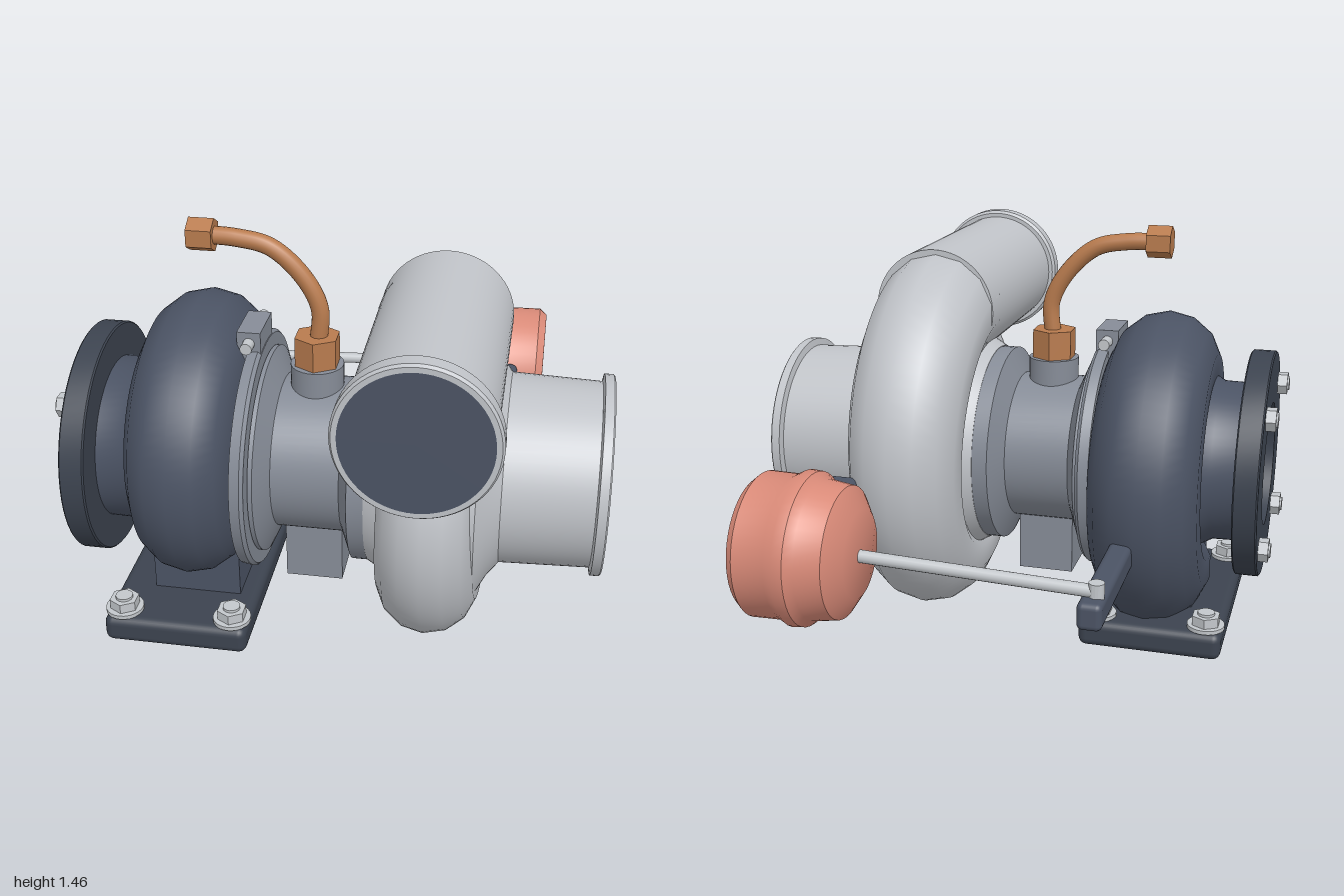
import * as THREE from 'three';
import { toCreasedNormals } from 'three/addons/utils/BufferGeometryUtils.js';
import { RoundedBoxGeometry } from 'three/addons/geometries/RoundedBoxGeometry.js';

// Shaft axis runs along x through this point
const CY = 0.626, CZ = 0.215;

export function createModel() {
  const model = new THREE.Group();
  model.name = 'turbocharger';
  const mat = (name, color, side = THREE.FrontSide) => {
    const m = new THREE.MeshStandardMaterial({ color, side });
    m.name = name;
    return m;
  };
  const alloy = mat('cast alloy', 0xc0c3c8);
  const iron = mat('cast iron', 0x4b5364);
  const darkIron = mat('dark iron', 0x3c434f);
  const core = mat('core housing grey', 0x868c97);
  const steel = mat('bolt steel', 0xc3c7cb);
  const copper = mat('copper', 0xb87b4e);
  const coral = mat('actuator coral', 0xd98a78);
  const wheelGrey = mat('wheel grey', 0x858b94, THREE.DoubleSide);

  const add = (name, geo, material, x = 0, y = 0, z = 0) => {
    const mesh = new THREE.Mesh(geo, material);
    mesh.name = name;
    mesh.position.set(x, y, z);
    model.add(mesh);
    return mesh;
  };
  // Solid of revolution about x, from [x, radius] pairs (outside runs towards +x)
  const turned = (name, profile, material, y = CY, z = CZ, sides = 64) => {
    const pts = profile.map(([x, r]) => new THREE.Vector2(r, x));
    const geo = new THREE.LatheGeometry(pts, sides).rotateZ(-Math.PI / 2);
    return add(name, toCreasedNormals(geo, 0.6), material, 0, y, z);
  };
  const box = (name, x0, x1, y0, y1, z0, z1, material, r = 0) => {
    const s = [x1 - x0, y1 - y0, z1 - z0];
    const geo = r ? new RoundedBoxGeometry(...s, 3, r) : new THREE.BoxGeometry(...s);
    return add(name, geo, material, (x0 + x1) / 2, (y0 + y1) / 2, (z0 + z1) / 2);
  };
  // Growing spiral tube with a closed end; up = 1 starts at the top, -1 at the bottom
  const volute = (name, xc, up, R0, R1, r0, r1, material) => {
    const NA = 80, NB = 14, pos = [], idx = [];
    for (let i = 0; i <= NA; i++) {
      const t = i / NA, a = t * Math.PI * 2;
      const R = R0 + (R1 - R0) * t, r = r0 + (r1 - r0) * t;
      for (let j = 0; j < NB; j++) {
        const b = (j + 0.5) / NB * Math.PI * 2, d = R + r * Math.sin(b);
        pos.push(xc + r * Math.cos(b), CY + up * d * Math.cos(a), CZ + d * Math.sin(a));
        if (i === NA) continue;
        const k = (j + 1) % NB, p = i * NB, q = p + NB;
        if (up > 0) idx.push(p + j, p + k, q + j, p + k, q + k, q + j);
        else idx.push(p + j, q + j, p + k, p + k, q + j, q + k);
      }
    }
    const geo = new THREE.BufferGeometry();
    geo.setAttribute('position', new THREE.Float32BufferAttribute(pos, 3));
    geo.setIndex(idx);
    geo.computeVertexNormals();
    add(name, geo, material);
    add(name + 'End', new THREE.CircleGeometry(r1, 28), material, xc, CY + up * R1, CZ);
  };
  const cyl = (r, h, n = 32) => toCreasedNormals(new THREE.CylinderGeometry(r, r, h, n), 0.6);

  // Compressor housing with its hollow inlet
  volute('compressorVolute', 0.335, 1, 0.352, 0.513, 0.14, 0.215, alloy);
  turned('compressorBody', [[0.13, 0], [0.13, 0.36], [0.2, 0.4], [0.4, 0.45], [0.495, 0.44], [0.53, 0.375],
    [0.57, 0.325], [0.87, 0.315], [0.875, 0.341], [0.905, 0.341], [0.91, 0.335], [0.91, 0.277],
    [0.88, 0.27], [0.6, 0.265], [0.5, 0.265]], alloy);

  // Compressor outlet pipe
  add('compressorOutlet', cyl(0.22, 0.85, 64).rotateX(Math.PI / 2), alloy, 0.342, 1.138, 0.535);
  const lip = new THREE.LatheGeometry([[0, -0.035], [0.235, -0.035], [0.245, -0.025],
    [0.245, 0.024], [0.238, 0.034], [0.2, 0.034]].map((p) => new THREE.Vector2(...p)), 64);
  add('outletLip', toCreasedNormals(lip, 0.6).rotateX(Math.PI / 2), alloy, 0.342, 1.138, 0.965);
  add('outletOpening', new THREE.CircleGeometry(0.222, 64), iron, 0.342, 1.138, 1);

  // Compressor wheel
  const backing = add('wheelBacking', new THREE.CircleGeometry(0.268, 48), darkIron, 0.53, CY, CZ);
  backing.rotation.y = Math.PI / 2;
  turned('wheelHub', [[0.53, 0.1], [0.6, 0.06], [0.7, 0.048], [0.74, 0.035], [0.755, 0]], wheelGrey, CY, CZ, 24);
  const blade = (start, tip, twist, bend) => {
    const geo = new THREE.PlaneGeometry(1, 1, 8, 6), p = geo.attributes.position;
    for (let i = 0; i < p.count; i++) {
      const u = p.getX(i) + 0.5, v = p.getY(i) + 0.5;
      const rad = 0.03 + 0.225 * u, a = start + twist * v + bend * u * u;
      p.setXYZ(i, 0.53 + (tip - 0.53) * v, rad * Math.cos(a), rad * Math.sin(a));
    }
    geo.computeVertexNormals();
    return geo;
  };
  for (let i = 0; i < 6; i++) {
    const a = i * Math.PI / 3;
    add('wheelBlade', blade(a, 0.71, 0.3, 0.2), wheelGrey, 0, CY, CZ);
    add('wheelSplitter', blade(a + Math.PI / 6, 0.63, 0.15, 0.1), wheelGrey, 0, CY, CZ);
  }

  // Core housing with its flared ends and clamp ring
  turned('coreHousing', [[-0.25, 0], [-0.25, 0.36], [-0.235, 0.36], [-0.195, 0.268], [0.035, 0.268],
    [0.075, 0.358], [0.135, 0.358], [0.135, 0]], core);
  turned('clampRing', [[-0.3, 0], [-0.3, 0.41], [-0.265, 0.415], [-0.253, 0.405], [-0.253, 0.34]], core);
  box('clampBlock', -0.335, -0.255, 1.0, 1.1, 0.12, 0.295, core);
  add('clampBolt', cyl(0.02, 0.28, 16).rotateX(Math.PI / 2), steel, -0.295, 1.06, 0.2);
  box('oilDrain', -0.18, 0.02, 0.168, 0.42, 0.11, 0.32, core);
  add('oilBoss', cyl(0.09, 0.12), core, -0.08, 0.91, CZ);

  // Copper oil line
  add('oilFitting', cyl(0.08, 0.105, 6).rotateY(Math.PI / 3), copper, -0.08, 1.02, CZ);
  const path = new THREE.CatmullRomCurve3([[-0.075, 1.05], [-0.07, 1.17], [-0.125, 1.28], [-0.23, 1.375],
    [-0.34, 1.4], [-0.45, 1.405]].map(([x, y]) => new THREE.Vector3(x, y, CZ)));
  add('oilLine', new THREE.TubeGeometry(path, 40, 0.03, 16), copper);
  add('oilLineNut', cyl(0.057, 0.085, 6).rotateY(Math.PI / 2).rotateZ(Math.PI / 2), copper, -0.457, 1.405, CZ);

  // Turbine housing
  volute('turbineVolute', -0.49, -1, 0.262, 0.423, 0.178, 0.198, iron);
  turned('turbineBody', [[-0.66, 0.28], [-0.64, 0.35], [-0.29, 0.35], [-0.29, 0]], iron);
  turned('turbineOutlet', [[-0.7, 0], [-0.7, 0.17], [-0.8, 0.17], [-0.8, 0.22]], iron);
  turned('outletNeck', [[-0.79, 0.285], [-0.7, 0.287], [-0.64, 0.32]], iron);
  turned('outletFlange', [[-0.79, 0.22], [-0.875, 0.22], [-0.875, 0.4], [-0.87, 0.405], [-0.795, 0.405],
    [-0.79, 0.4], [-0.79, 0.22]], darkIron);
  box('inletNeck', -0.645, -0.335, 0.08, 0.4, 0.03, 0.4, iron);
  box('mountingFoot', -0.775, -0.27, 0.018, 0.117, -0.185, 0.615, darkIron, 0.03);

  // Bolts on the foot and on the outlet flange
  for (const x of [-0.715, -0.33]) for (const z of [-0.115, 0.545]) {
    add('footWasher', cyl(0.066, 0.014, 24), steel, x, 0.123, z);
    add('footBolt', cyl(0.052, 0.035, 6), steel, x, 0.147, z);
    add('footBoltEnd', cyl(0.03, 0.012, 16), steel, x, 0.168, z);
  }
  for (const sy of [-1, 1]) for (const sz of [-1, 1]) {
    const y = CY + sy * 0.237, z = CZ + sz * 0.237;
    add('flangeBolt', cyl(0.042, 0.035, 6).rotateZ(Math.PI / 2), steel, -0.892, y, z);
    add('flangeBoltEnd', cyl(0.025, 0.01, 16).rotateZ(Math.PI / 2), steel, -0.911, y, z);
  }

  // Wastegate actuator, bracket, rod and lever arm
  turned('actuator', [[0.31, 0], [0.31, 0.145], [0.355, 0.215], [0.44, 0.228], [0.465, 0.25], [0.5, 0.253],
    [0.535, 0.235], [0.64, 0.237], [0.667, 0.214], [0.667, 0]], coral, 0.535, -0.745, 48);
  box('actuatorBracket', 0.455, 0.57, 0.378, 0.65, -0.54, -0.365, iron, 0.025);
  const rodLine = new THREE.LineCurve3(new THREE.Vector3(0.33, 0.53, -0.75), new THREE.Vector3(-0.46, 0.5, -0.75));
  add('actuatorRod', new THREE.TubeGeometry(rodLine, 1, 0.021, 16), steel);
  add('rodPin', cyl(0.025, 0.06, 16), steel, -0.455, 0.5, -0.75);
  box('leverArm', -0.485, -0.405, 0.395, 0.485, -0.82, -0.28, iron, 0.02);
  return model;
}
